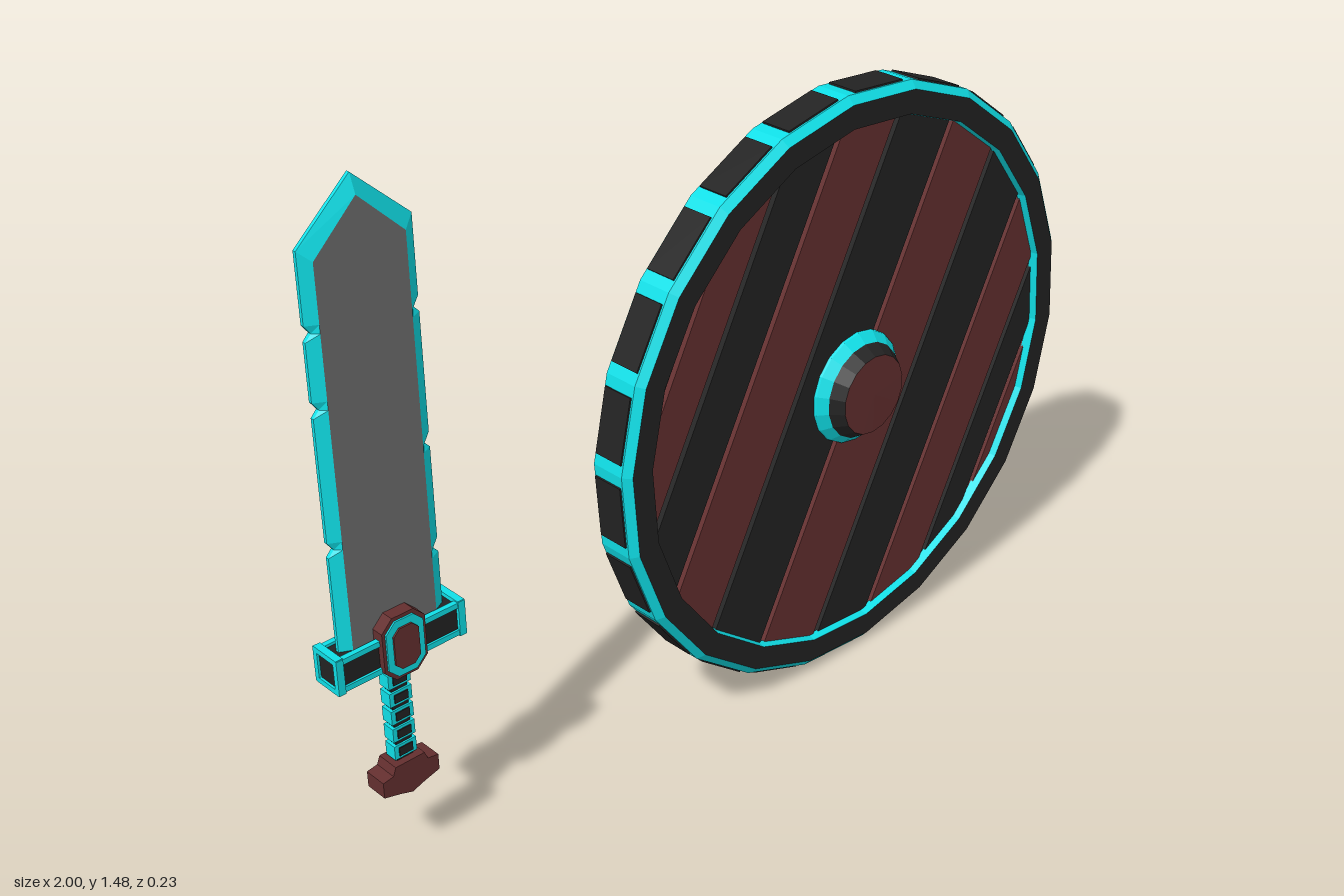
import * as THREE from 'three';

const material = (name, color) => {
  const m = new THREE.MeshStandardMaterial({ color });
  m.name = name;
  return m;
};

export function createModel() {
  const black = material('black', 0x232323);
  const red = material('dark red', 0x642f2f);
  const cyan = material('cyan', 0x10dfe7);
  const grey = material('blade grey', 0x6f6f6f);

  const add = (parent, name, geometry, mat, x = 0, y = 0, z = 0) => {
    const mesh = new THREE.Mesh(geometry, mat);
    mesh.name = name;
    mesh.position.set(x, y, z);
    parent.add(mesh);
    return mesh;
  };
  const box = (w, h, d) => new THREE.BoxGeometry(w, h, d);
  const shapeOf = (pts) => new THREE.Shape(pts.map(([x, y]) => new THREE.Vector2(x, y)));
  const slab = (pts, depth) => new THREE.ExtrudeGeometry(shapeOf(pts), { depth, bevelEnabled: false });
  const flat = (g) => {
    const f = g.index ? g.toNonIndexed() : g;
    f.computeVertexNormals();
    return f;
  };

  const model = new THREE.Group();
  model.name = 'swordAndShield';

  // ---------- Shield ----------
  const shield = new THREE.Group();
  shield.name = 'shield';
  shield.position.set(0.315, 0.685, 0);
  model.add(shield);

  const SIDES = 22, R = 0.682, STEP = (Math.PI * 2) / SIDES;
  const FIRST = THREE.MathUtils.degToRad(-4); // angle of one corner
  const phase = (((FIRST + Math.PI / 2) % STEP) + STEP) % STEP;

  // Faceted band turned about the z axis from [radius, z] points
  const band = (pts, sides = SIDES, start = phase) => flat(new THREE.LatheGeometry(
    pts.map(([r, z]) => new THREE.Vector2(r, z)), sides, start).rotateX(Math.PI / 2));
  const polygon = (r) => Array.from({ length: SIDES }, (_, i) =>
    [r * Math.cos(FIRST + i * STEP), r * Math.sin(FIRST + i * STEP)]);

  // Keep the part of a polygon where nx*x + ny*y <= limit
  const clip = (pts, nx, ny, limit) => {
    const out = [];
    pts.forEach((p, i) => {
      const q = pts[(i + 1) % pts.length];
      const a = nx * p[0] + ny * p[1] - limit, b = nx * q[0] + ny * q[1] - limit;
      if (a <= 0) out.push(p);
      if (a * b < 0) {
        const t = a / (a - b);
        out.push([p[0] + (q[0] - p[0]) * t, p[1] + (q[1] - p[1]) * t]);
      }
    });
    return out;
  };

  // Slanted planks, alternating in colour between the given cuts
  const tilt = THREE.MathUtils.degToRad(27.5);
  const nx = Math.cos(tilt), ny = -Math.sin(tilt);
  const planks = (name, cuts, firstRed, radius, gap, z, depth) => {
    for (let i = 0; i < cuts.length - 1; i++) {
      let pts = clip(polygon(radius), nx, ny, cuts[i + 1] - gap / 2);
      pts = clip(pts, -nx, -ny, -(cuts[i] + gap / 2));
      if (pts.length > 2) add(shield, name, slab(pts, depth), (i % 2 === 0) === firstRed ? red : black, 0, 0, z);
    }
  };
  add(shield, 'shieldCore', slab(polygon(0.655), 0.05), black, 0, 0, -0.005);
  planks('backPlank', [-0.7, -0.48, -0.34, -0.18, 0, 0.18, 0.34, 0.7], true, 0.663, 0, -0.035, 0.03);
  planks('frontPlank', [-0.7, -0.58, -0.47, -0.34, -0.18, 0, 0.18, 0.34, 0.48, 0.57, 0.7],
    false, 0.64, 0.014, 0.04, 0.02);

  // Rim
  add(shield, 'rimEdge', band([[0.66, -0.035], [R, -0.02], [R, 0.062], [0.665, 0.077]]), cyan);
  add(shield, 'rimFace', band([[0.665, 0.077], [0.612, 0.077]]), black);
  add(shield, 'rimInnerEdge', band([[0.612, 0.077], [0.608, 0.055]]), cyan);
  for (let i = 0; i < SIDES; i++) {
    const a = FIRST + (i + 0.5) * STEP, r = R * Math.cos(STEP / 2);
    const panel = add(shield, 'rimPanel', box(0.008, 0.143, 0.074), black,
      r * Math.cos(a), r * Math.sin(a), 0.021);
    panel.rotation.z = a;
  }

  // Boss
  add(shield, 'bossBase', band([[0.132, 0.055], [0.13, 0.066], [0.111, 0.086]], 18, 0), cyan);
  add(shield, 'bossSlope', band([[0.111, 0.086], [0.092, 0.116]], 18, 0), black);
  add(shield, 'bossFace', band([[0.092, 0.116], [0, 0.117]], 18, 0), red);

  // ---------- Sword ----------
  const sword = new THREE.Group();
  sword.name = 'sword';
  sword.position.set(-0.85, 0, -0.062);
  model.add(sword);

  // Blade outline, with small nicks along both edges
  const W = 0.121, INNER = 0.097, H = 0.017, EDGE = 0.004;
  const nick = (y) => [[W, y - 0.018], [W - 0.013, y - 0.004], [W, y + 0.014]];
  const side = (nicks) => [[W, 0.53], ...nicks.flatMap(nick), [W, 1.375]];
  const outer = [...side([0.69, 0.92, 1.2]), [0, 1.485],
    ...side([0.78, 1.07, 1.22]).reverse().map(([x, y]) => [-x, y])];
  const inner = outer.map(([x, y]) =>
    x === 0 ? [0, 1.447] : [Math.sign(x) * INNER, y > 1.3 ? 1.352 : y]);

  const bevel = [];
  outer.forEach((_, i) => {
    const j = (i + 1) % outer.length;
    const loop = (k) => [[...inner[k], H], [...outer[k], EDGE], [...outer[k], -EDGE], [...inner[k], -H]];
    const a = loop(i), b = loop(j);
    for (let k = 0; k < 3; k++) {
      bevel.push(...a[k], ...a[k + 1], ...b[k + 1], ...a[k], ...b[k + 1], ...b[k]);
    }
  });
  const bevelGeometry = new THREE.BufferGeometry();
  bevelGeometry.setAttribute('position', new THREE.Float32BufferAttribute(bevel, 3));
  add(sword, 'bladeEdge', flat(bevelGeometry), cyan);
  add(sword, 'bladeFlat', slab(inner, 2 * H), grey, 0, 0, -H);

  // Crossguard with bright edging
  const guard = new THREE.Group();
  guard.name = 'crossguard';
  guard.position.y = 0.524;
  sword.add(guard);
  add(guard, 'guardBar', box(0.29, 0.062, 0.062), black);
  for (const s of [-1, 1]) {
    for (const t of [-1, 1]) {
      add(guard, 'guardEdge', box(0.29, 0.012, 0.012), cyan, 0, s * 0.031, t * 0.03);
      add(guard, 'guardEndPost', box(0.016, 0.078, 0.012), cyan, s * 0.142, 0, t * 0.032);
      add(guard, 'guardEndRail', box(0.016, 0.012, 0.072), cyan, s * 0.142, t * 0.034, 0);
    }
  }

  // Central block: stacked elongated octagons on both faces
  const octagon = (w, h, c) => [[w, -h + c], [w, h - c], [w - c, h], [-w + c, h],
    [-w, h - c], [-w, -h + c], [-w + c, -h], [w - c, -h]];
  const layers = [['guardBlock', 0.05, 0.07, 0.045, red], ['guardFrame', 0.043, 0.062, 0.049, cyan],
    ['guardGem', 0.029, 0.046, 0.053, red]];
  for (const [name, w, h, d, mat] of layers) {
    add(sword, name, slab(octagon(w, h, w * 0.5), 2 * d), mat, 0, 0.535, -d);
  }

  // Grip wrapped in five bands
  add(sword, 'gripCore', box(0.038, 0.23, 0.022), black, 0, 0.355, 0);
  for (let i = 0; i < 5; i++) {
    const y = 0.272 + i * 0.042;
    add(sword, 'gripBand', box(0.052, 0.032, 0.03), cyan, 0, y, 0);
    add(sword, 'gripInset', box(0.032, 0.019, 0.035), black, 0, y, 0);
  }

  // Pommel
  const half = [[0.035, 0.25], [0.042, 0.232], [0.067, 0.228], [0.067, 0.192], [0.03, 0.182]];
  const pommel = [[0, 0.172], ...half.slice().reverse(), ...half.map(([x, y]) => [-x, y])];
  add(sword, 'pommel', slab(pommel, 0.054), red, 0, 0, -0.027);

  return model;
}
